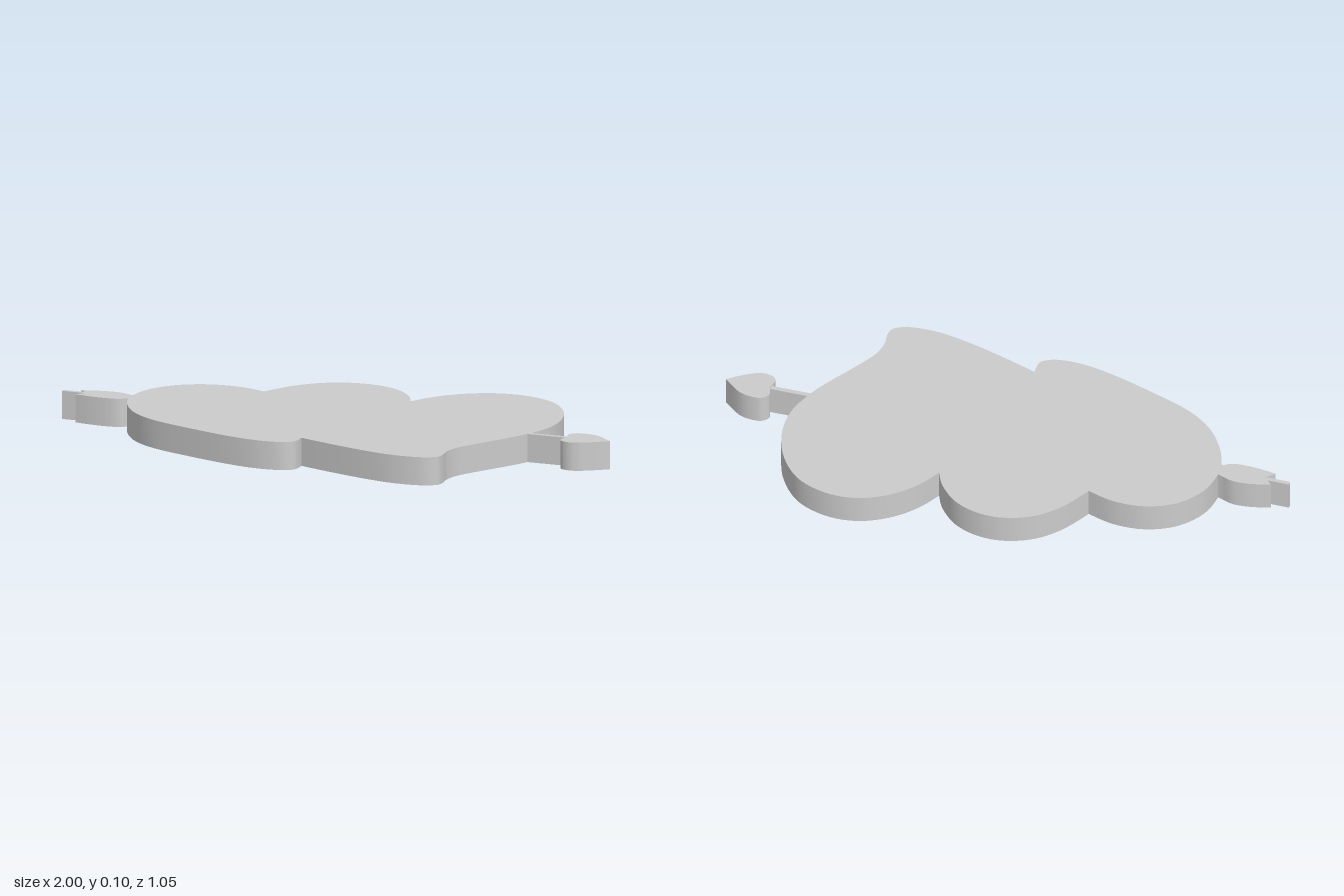
import * as THREE from 'three';
import { toCreasedNormals } from 'three/addons/utils/BufferGeometryUtils.js';

const THICKNESS = 0.1;
const material = new THREE.MeshStandardMaterial({ color: 0xcccccc });

// Flat plate from smooth runs of [x, z] points; corners stay sharp where runs meet.
function plate(name, runs, steps = 5) {
  const outline = [];
  for (const run of runs) {
    const pts = run.map(([x, z]) => new THREE.Vector2(x, -z));
    if (pts.length < 3) outline.push(...pts.slice(0, -1));
    else outline.push(...new THREE.SplineCurve(pts).getPoints((pts.length - 1) * steps).slice(0, -1));
  }
  const extruded = new THREE.ExtrudeGeometry(new THREE.Shape(outline), { depth: THICKNESS, bevelEnabled: false });
  extruded.rotateX(-Math.PI / 2);
  const mesh = new THREE.Mesh(toCreasedNormals(extruded, 0.6), material);
  mesh.name = name;
  return mesh;
}

export function createModel() {
  const group = new THREE.Group();
  group.name = 'heartsWithArrow';

  // Two overlapping hearts sharing one outline
  group.add(plate('hearts', [
    // small heart: outer lobe, long side and curled tip
    [[-0.31, -0.35], [-0.4, -0.4], [-0.51, -0.42], [-0.62, -0.392], [-0.705, -0.315], [-0.747, -0.215],
      [-0.752, -0.14], [-0.735, -0.05], [-0.69, 0.05], [-0.61, 0.14], [-0.48, 0.23], [-0.33, 0.32],
      [-0.22, 0.37], [-0.13, 0.386], [-0.08, 0.372], [-0.066, 0.345], [-0.06, 0.31]],
    // large heart: curled tip, side and outer lobe
    [[-0.06, 0.31], [0.05, 0.38], [0.18, 0.455], [0.29, 0.505], [0.39, 0.524], [0.45, 0.51],
      [0.467, 0.47], [0.472, 0.42], [0.5, 0.355], [0.57, 0.27], [0.65, 0.18], [0.71, 0.1],
      [0.76, 0], [0.778, -0.12], [0.76, -0.25], [0.7, -0.37], [0.6, -0.443], [0.49, -0.465],
      [0.38, -0.438], [0.285, -0.375], [0.215, -0.295]],
    // middle lobe
    [[0.215, -0.295], [0.195, -0.37], [0.14, -0.457], [0.055, -0.513], [-0.04, -0.53],
      [-0.14, -0.508], [-0.22, -0.455], [-0.275, -0.395], [-0.31, -0.35]],
  ]));

  // Arrow shaft and heart-shaped head
  group.add(plate('arrowShaft', [
    [[0.7, 0.116], [0.838, 0.146]], [[0.838, 0.146], [0.842, 0.128]],
    [[0.842, 0.128], [0.705, 0.098]], [[0.705, 0.098], [0.7, 0.116]],
  ]));
  group.add(plate('arrowHead', [
    [[0.844, 0.135], [0.84, 0.1], [0.858, 0.078], [0.89, 0.075], [0.945, 0.1], [1, 0.17]],
    [[1, 0.17], [0.95, 0.195], [0.89, 0.215], [0.848, 0.207], [0.828, 0.18], [0.844, 0.135]],
  ]));

  // Feathers and the stub of shaft behind them
  group.add(plate('arrowFeathers', [
    [[-0.742, -0.212], [-0.76, -0.222], [-0.8, -0.247], [-0.86, -0.258], [-0.935, -0.256]],
    [[-0.935, -0.256], [-0.92, -0.23]],
    [[-0.92, -0.23], [-0.915, -0.215]],
    [[-0.915, -0.215], [-0.945, -0.192]],
    [[-0.945, -0.192], [-0.89, -0.17], [-0.83, -0.153], [-0.79, -0.15], [-0.76, -0.16], [-0.75, -0.17]],
    [[-0.75, -0.17], [-0.742, -0.212]],
  ]));
  group.add(plate('shaftTail', [
    [[-1, -0.234], [-0.915, -0.215]], [[-0.915, -0.215], [-0.92, -0.232]],
    [[-0.92, -0.232], [-0.997, -0.25]], [[-0.997, -0.25], [-1, -0.234]],
  ]));

  return group;
}
